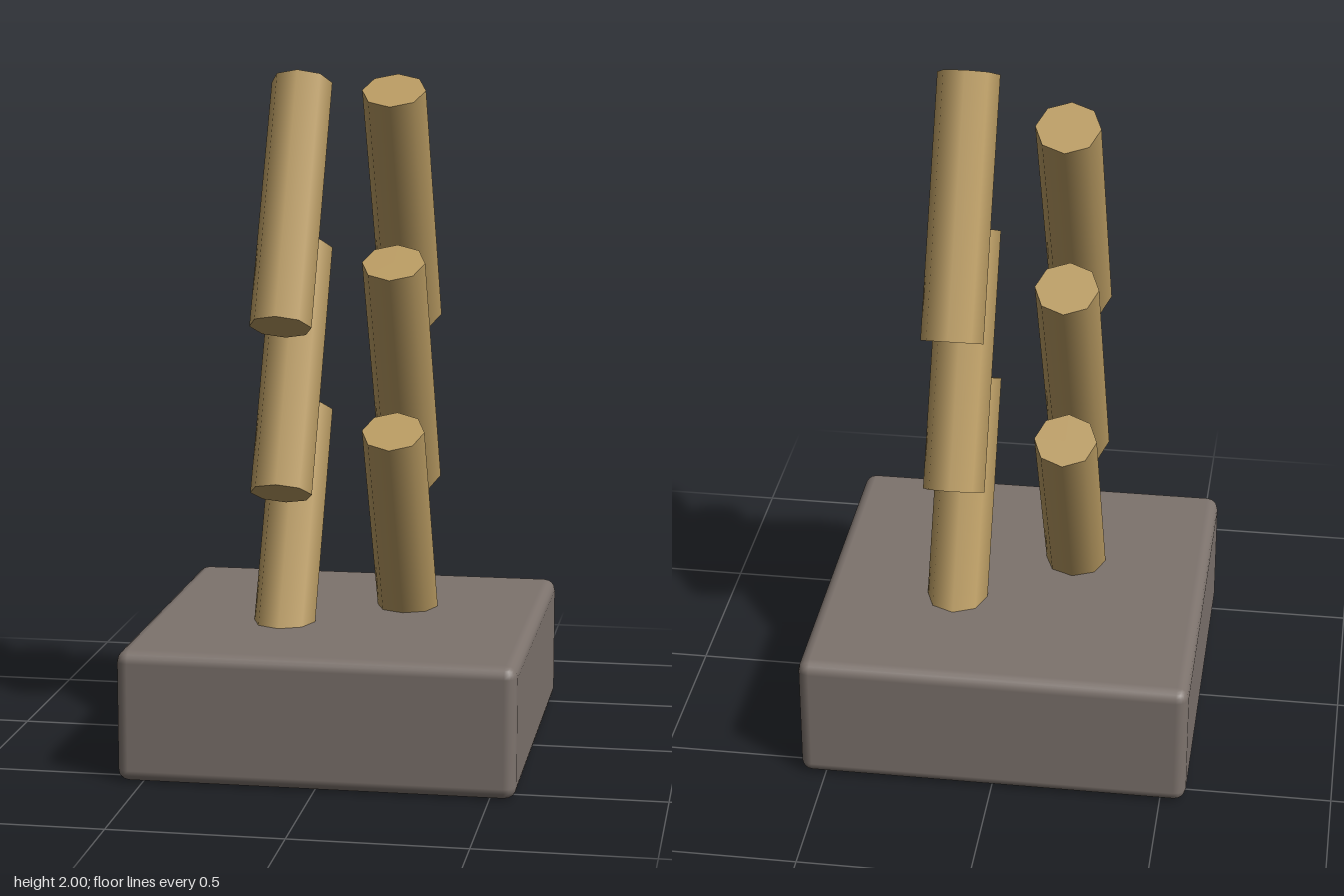
import * as THREE from 'three';
import { RoundedBoxGeometry } from 'three/addons/geometries/RoundedBoxGeometry.js';

export function createModel() {
  const model = new THREE.Group();
  model.name = 'crossedLogPost';
  const stone = new THREE.MeshStandardMaterial({ color: 0x7d736d });
  const wood = new THREE.MeshStandardMaterial({ color: 0xb99b62 });

  // Square stone block with softened edges
  const baseHeight = 0.385;
  const base = new THREE.Mesh(new RoundedBoxGeometry(1.15, baseHeight, 1.15, 2, 0.035), stone);
  base.name = 'base';
  base.position.y = baseHeight / 2;
  model.add(base);

  // Two stacks of eight-sided logs leaning opposite ways; the lowest pair is sunk in the base
  const logGeometry = new THREE.CylinderGeometry(0.092, 0.092, 0.775, 8);
  const tilt = THREE.MathUtils.degToRad(27.5);
  for (const [side, name] of [[1, 'leftLogs'], [-1, 'rightLogs']]) {
    const stack = new THREE.Group();
    stack.name = name;
    for (let i = 0; i < 3; i++) {
      const log = new THREE.Mesh(logGeometry, wood);
      log.name = 'log' + (i + 1);
      log.position.set(side * 0.166, 0.63 + i * 0.493, 0);
      log.rotation.x = side * tilt;
      stack.add(log);
    }
    model.add(stack);
  }
  return model;
}
